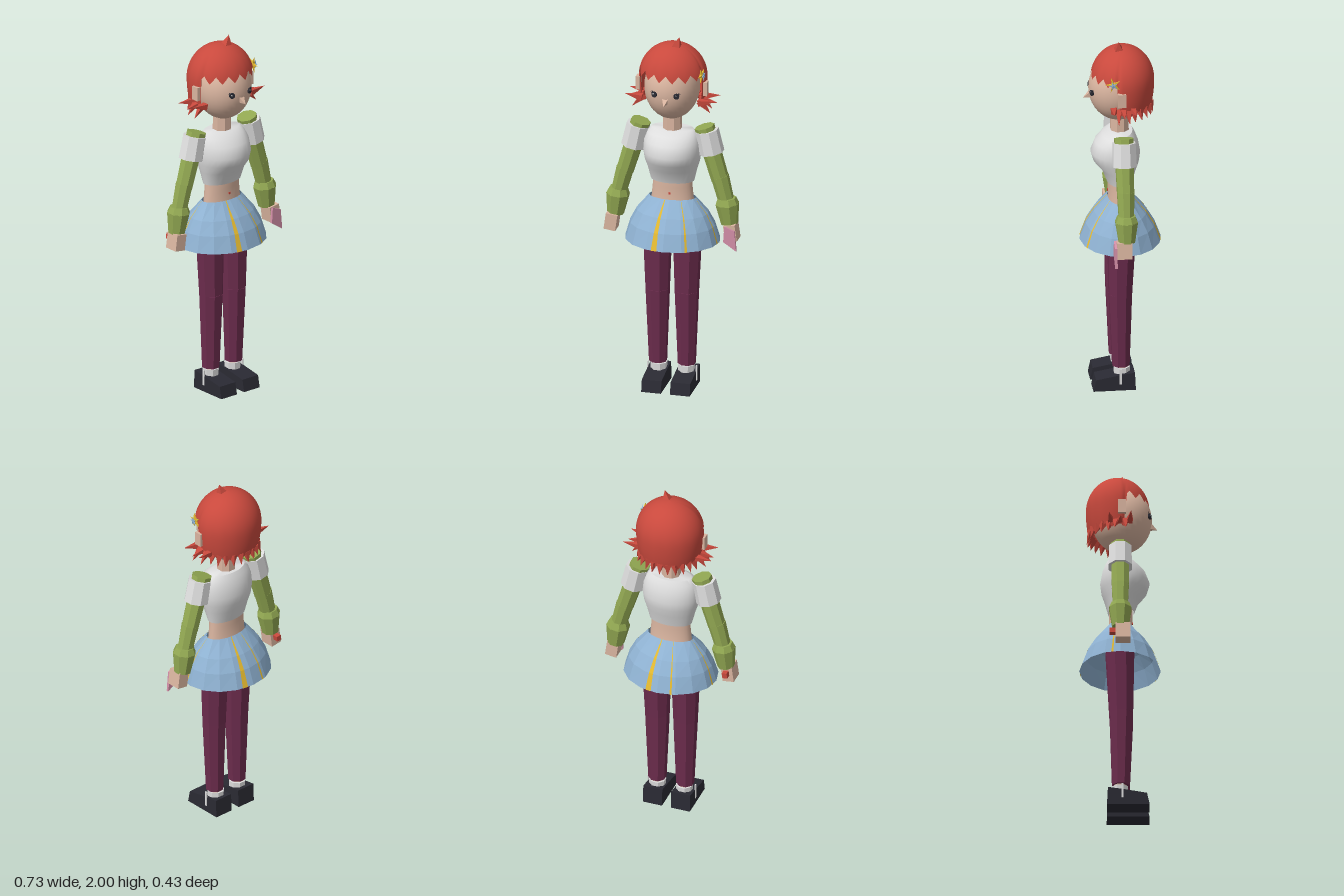
import * as THREE from 'three';
import { toCreasedNormals } from 'three/addons/utils/BufferGeometryUtils.js';

const mat = (name, color, side = THREE.FrontSide) => {
  const m = new THREE.MeshStandardMaterial({ color, side });
  m.name = name;
  return m;
};
const V = (x, y, z) => new THREE.Vector3(x, y, z);

function flat(geo) {
  const g = geo.index ? geo.toNonIndexed() : geo;
  g.computeVertexNormals();
  return g;
}

// Grid of points (rows run downwards, columns run from +z towards +x)
function gridGeometry(rows, closed) {
  const n = rows[0].length, pos = [], idx = [];
  rows.forEach(r => r.forEach(p => pos.push(p.x, p.y, p.z)));
  for (let i = 0; i < rows.length - 1; i++) {
    for (let j = 0; j < (closed ? n : n - 1); j++) {
      const a = i * n + j, b = i * n + (j + 1) % n;
      idx.push(a, a + n, b, b, a + n, b + n);
    }
  }
  const g = new THREE.BufferGeometry();
  g.setAttribute('position', new THREE.Float32BufferAttribute(pos, 3));
  g.setIndex(idx);
  g.computeVertexNormals();
  return g;
}

// Oval ring: height, half width, front depth, back depth
const oval = ([y, rx, zf, zb], n) => Array.from({ length: n }, (_, j) => {
  const a = j / n * Math.PI * 2, c = Math.cos(a);
  return V(rx * Math.sin(a), y, c * (c > 0 ? zf : zb));
});

export function createModel() {
  const root = new THREE.Group();
  root.name = 'figure';
  const red = mat('hairRed', 0xc9493d, THREE.DoubleSide);
  const skin = mat('skin', 0xdab5a0);
  const white = mat('white', 0xdedede, THREE.DoubleSide);
  const green = mat('green', 0x92a852);
  const blue = mat('skirtBlue', 0x8fb2d2, THREE.DoubleSide);
  const yellow = mat('yellow', 0xe2b830, THREE.DoubleSide);
  const plum = mat('plum', 0x6c2c4d);
  const black = mat('black', 0x2a2a33);
  const pink = mat('pink', 0xd48fa8);

  const add = (name, geo, material, parent = root) => {
    const m = new THREE.Mesh(geo, material);
    m.name = name;
    parent.add(m);
    return m;
  };
  // Faceted tapered tube from point a to point b
  const limb = (name, a, b, ra, rb, material, n = 8, parent = root) => {
    const d = b.clone().sub(a);
    const g = new THREE.CylinderGeometry(rb, ra, d.length(), n);
    g.rotateY(Math.PI / n);
    const m = add(name, flat(g), material, parent);
    m.position.copy(a).add(b).multiplyScalar(0.5);
    m.quaternion.setFromUnitVectors(V(0, 1, 0), d.normalize());
    return m;
  };
  const box = (name, w, h, d, x, y, z, material, parent = root) => {
    const m = add(name, new THREE.BoxGeometry(w, h, d), material, parent);
    m.position.set(x, y, z);
    return m;
  };

  // Top, waist and neck
  const top = [[1.475, 0.001, 0.001, 0.001], [1.475, 0.115, 0.055, 0.065], [1.45, 0.138, 0.095, 0.08], [1.41, 0.153, 0.135, 0.095],
    [1.35, 0.157, 0.158, 0.106], [1.3, 0.15, 0.143, 0.1], [1.25, 0.135, 0.1, 0.083], [1.18, 0.118, 0.073, 0.064]];
  add('top', toCreasedNormals(gridGeometry(top.map(r => oval(r, 28)), true), 0.9), white);
  const waist = [[1.21, 0.108, 0.066, 0.058], [1.15, 0.108, 0.066, 0.058], [1.08, 0.115, 0.064, 0.06], [0.98, 0.12, 0.08, 0.08]];
  add('waist', gridGeometry(waist.map(r => oval(r, 28)), true), skin);
  limb('navel', V(0, 1.12, 0.062), V(0, 1.12, 0.069), 0.008, 0.008, red, 4);
  limb('neck', V(0, 1.45, 0.003), V(0, 1.58, 0.003), 0.052, 0.05, skin);

  // Skirt with stripes lying on its facets
  const rings = [[1.083, 0.128, 0.068, 0.068], [1.0, 0.196, 0.14, 0.14], [0.93, 0.232, 0.184, 0.184], [0.84, 0.258, 0.217, 0.217]]
    .map(r => oval(r, 16));
  add('skirt', flat(gridGeometry(rings, true)), blue);
  const widths = [0.04, 0.1, 0.13, 0.16];
  [[15, 0.48, 1], [1, 0.0 + 0.25, 0.45], [3, 0.6, 0.4], [7, 0.48, 1], [8, 0.75, 0.35], [11, 0.5, 0.4]].forEach(([f, t, w]) => {
    const strip = rings.map((r, i) => [-1, 1].map(s => {
      const p = r[f].clone().lerp(r[(f + 1) % 16], t + s * widths[i] * w);
      return p.multiply(V(1.012, 1, 1.012));
    }));
    add('skirtStripe', flat(gridGeometry(strip, false)), yellow);
  });

  // Legs, socks, shoes and arms
  const shoe = new THREE.Shape([[-0.07, 0], [0.157, 0], [0.143, 0.066], [0.02, 0.088], [-0.065, 0.1]]
    .map(p => new THREE.Vector2(...p)));
  for (const s of [-1, 1]) {
    const side = s > 0 ? 'left' : 'right';
    limb(side + 'Thigh', V(s * 0.08, 0.55, 0.008), V(s * 0.083, 0.98, 0), 0.066, 0.083, plum);
    limb(side + 'Shin', V(s * 0.079, 0.13, 0.005), V(s * 0.08, 0.55, 0.008), 0.049, 0.066, plum);
    limb(side + 'Sock', V(s * 0.076, 0.06, 0), V(s * 0.076, 0.122, 0), 0.044, 0.046, white);
    limb(side + 'Ankle', V(s * 0.078, 0.11, 0), V(s * 0.078, 0.135, 0), 0.036, 0.036, skin);
    const sg = new THREE.ExtrudeGeometry(shoe, { depth: 0.108, bevelEnabled: false });
    sg.translate(0, 0, -0.054).rotateY(-Math.PI / 2);
    add(side + 'Shoe', sg, black).position.x = s * 0.079;
    box(side + 'SockStrap', 0.006, 0.085, 0.012, s * 0.134, 0.08, 0.012, white);

    const P = (x, y, z = 0) => V(s * x, y, z);
    limb(side + 'UpperArm', P(0.262, 1.2), P(0.174, 1.497), 0.048, 0.055, green);
    limb(side + 'Forearm', P(0.3, 1.06), P(0.259, 1.22), 0.042, 0.049, green);
    limb(side + 'Sleeve', P(0.215, 1.352), P(0.188, 1.478), 0.068, 0.064, white);
    limb(side + 'CuffFlare', P(0.3, 1.065), P(0.297, 1.1), 0.064, 0.05, green);
    limb(side + 'Cuff', P(0.313, 0.953), P(0.3, 1.066), 0.046, 0.064, green);
    const hand = new THREE.Group();
    hand.name = side + 'Hand';
    hand.position.set(s * 0.328, 0.915, 0.015);
    hand.rotation.z = s * 0.14;
    root.add(hand);
    box('palm', 0.064, 0.09, 0.08, 0, 0, 0, skin, hand);
    if (s < 0) box('handBead', 0.028, 0.03, 0.035, 0.002, 0.01, -0.054, red, hand);
  }
  // Pink slip in the left hand
  const slip = new THREE.Shape([[0.294, 0.87], [0.365, 0.822], [0.355, 0.935], [0.3, 0.957]]
    .map(p => new THREE.Vector2(...p)));
  add('handSlip', new THREE.ExtrudeGeometry(slip, { depth: 0.014, bevelEnabled: false }), pink).position.z = 0.054;

  // Head and face
  const head = add('head', new THREE.SphereGeometry(1, 32, 20), skin);
  head.scale.set(0.148, 0.182, 0.16);
  head.position.set(0, 1.722, 0.01);
  limb('nose', V(0, 1.687, 0.158), V(0, 1.668, 0.198), 0.024, 0, skin, 4);
  for (const s of [-1, 1]) {
    limb('eye', V(s * 0.058, 1.72, 0.152), V(s * 0.062, 1.72, 0.163), 0.016, 0.016, black, 10);
    limb('eyeGlint', V(s * 0.062 - 0.004, 1.725, 0.162), V(s * 0.062 - 0.004, 1.725, 0.165), 0.004, 0.004, white, 6);
    for (const k of [0, 1]) {
      limb('eyelash', V(s * 0.068, 1.725 + k * 0.006, 0.155), V(s * (0.086 - k * 0.006), 1.735 + k * 0.007, 0.152), 0.004, 0, black, 4);
    }
    box('ear', 0.022, 0.076, 0.042, s * 0.184, 1.722, 0.01, skin);
  }

  // Hair cap with a jagged fringe and hem
  const cols = 64, rows = 16, cy = 1.77, ry = 0.187;
  const cap = [];
  for (let i = 0; i <= rows; i++) {
    cap.push(Array.from({ length: cols }, (_, j) => {
      const a = j / cols * Math.PI * 2, front = Math.cos(a) > 0.22;
      const zig = Math.abs((j % 4) - 2) / 2;
      const low = front ? 1.785 + 0.04 * zig : 1.615 + 0.035 * zig;
      const y = cy + ry - (cy + ry - low) * (1 - Math.cos(i / rows * Math.PI / 2));
      const r = Math.sqrt(Math.max(0, 1 - ((y - cy) / (y > cy ? ry : 0.34)) ** 2));
      return V(0.184 * r * Math.sin(a), y, -0.012 + 0.17 * r * Math.cos(a));
    }));
  }
  add('hairCap', gridGeometry(cap, true), red);
  limb('topTuft', V(0.025, 1.945, 0.01), V(0.04, 2.0, 0.012), 0.032, 0, red, 4);
  // Side bunches
  for (const s of [-1, 1]) {
    [[0.25, 1.668, 0.058, 0.05], [0.245, 1.64, 0, 0], [0.25, 1.66, -0.06, -0.05], [0.215, 1.588, 0.03, 0.025], [0.21, 1.59, -0.03, -0.025]]
      .forEach(([x, y, z, bz]) => limb('sideBunch', V(s * 0.155, 1.652, bz), V(s * x, y, z), 0.024, 0, red, 4));
  }
  // Spikes along the nape
  for (let k = -5; k <= 5; k++) {
    const a = Math.PI + k * 0.25, x = Math.sin(a), z = Math.cos(a);
    limb('napeSpike', V(0.155 * x, 1.645, -0.012 + 0.145 * z), V(0.18 * x, 1.585, -0.012 + 0.165 * z), 0.024, 0, red, 4);
  }

  // Flower clip on the left of the hair
  const clip = new THREE.Group();
  clip.name = 'flowerClip';
  clip.position.set(0.172, 1.81, 0.055);
  clip.rotation.y = -0.15;
  root.add(clip);
  for (let k = 0; k < 5; k++) {
    const a = k / 5 * Math.PI * 2 + 0.3, c = Math.cos(a), n = Math.sin(a);
    limb('petal', V(0, 0, 0), V(0, 0.046 * c, 0.046 * n), 0.012, 0, yellow, 4, clip);
    limb('innerPetal', V(0.012, 0, 0), V(0.014, 0.026 * c, 0.026 * n), 0.008, 0, blue, 4, clip);
  }
  return root;
}
